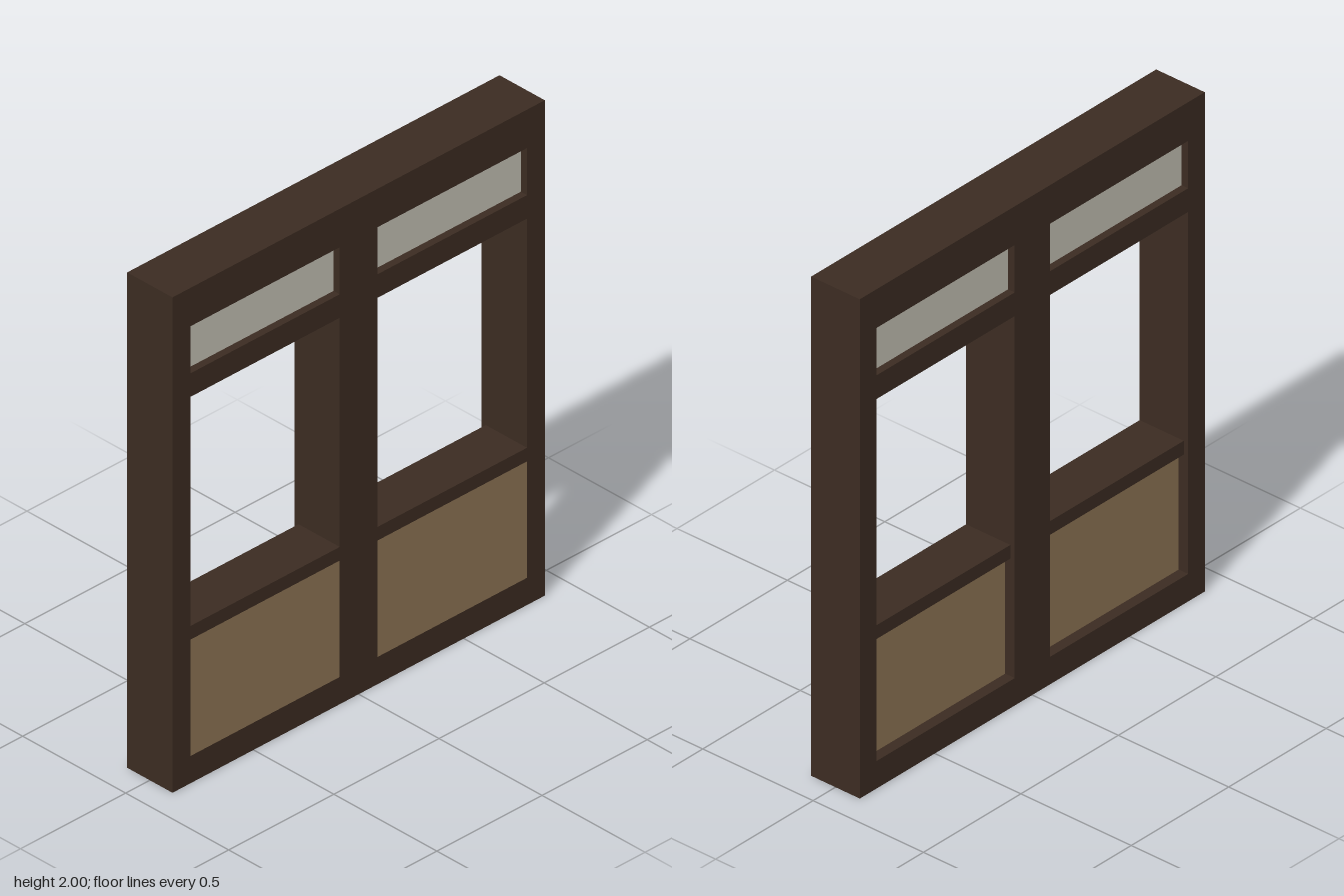
import * as THREE from 'three';

const frameMat = new THREE.MeshStandardMaterial({ name: 'dark wood', color: 0x3c2c22 });
const panelMat = new THREE.MeshStandardMaterial({ name: 'tan panel', color: 0x8f7555 });
const glassMat = new THREE.MeshStandardMaterial({ name: 'frosted glass', color: 0xc6c2b6 });

const HALF_W = 0.885, HEIGHT = 2, HALF_D = 0.11;
const IN = 0.09, OUT = 0.8; // inner and outer edge of each bay

// Box given by its limits on each axis
function block(name, mat, x0, x1, y0, y1, z0, z1) {
  const mesh = new THREE.Mesh(new THREE.BoxGeometry(x1 - x0, y1 - y0, z1 - z0), mat);
  mesh.position.set((x0 + x1) / 2, (y0 + y1) / 2, (z0 + z1) / 2);
  mesh.name = name;
  return mesh;
}

function rect(path, x0, x1, y0, y1) {
  path.moveTo(x0, y0);
  path.lineTo(x1, y0);
  path.lineTo(x1, y1);
  path.lineTo(x0, y1);
  path.closePath();
  return path;
}

export function createModel() {
  const model = new THREE.Group();
  model.name = 'windowWall';

  // Frame: one slab with a transom opening and a tall opening in each bay
  const outline = rect(new THREE.Shape(), -HALF_W, HALF_W, 0, HEIGHT);
  for (const [x0, x1] of [[-OUT, -IN], [IN, OUT]]) {
    outline.holes.push(rect(new THREE.Path(), x0, x1, 0.11, 1.56));
    outline.holes.push(rect(new THREE.Path(), x0, x1, 1.655, 1.845));
  }
  const frameGeo = new THREE.ExtrudeGeometry(outline, { depth: HALF_D * 2, bevelEnabled: false });
  frameGeo.translate(0, 0, -HALF_D);
  const frame = new THREE.Mesh(frameGeo, frameMat);
  frame.name = 'frame';
  model.add(frame);

  // Each bay: lower panel flush at the front, sill above it, recessed transom glass
  for (const [side, x0, x1] of [['right', -OUT, -IN], ['left', IN, OUT]]) {
    const bay = new THREE.Group();
    bay.name = side + 'Bay';
    bay.add(
      block('lowerPanel', panelMat, x0, x1, 0.11, 0.58, -0.067, HALF_D),
      block('sill', frameMat, x0, x1, 0.58, 0.635, -0.09, HALF_D),
      block('transomGlass', glassMat, x0, x1, 1.655, 1.845, -0.08, 0.08)
    );
    model.add(bay);
  }
  return model;
}
